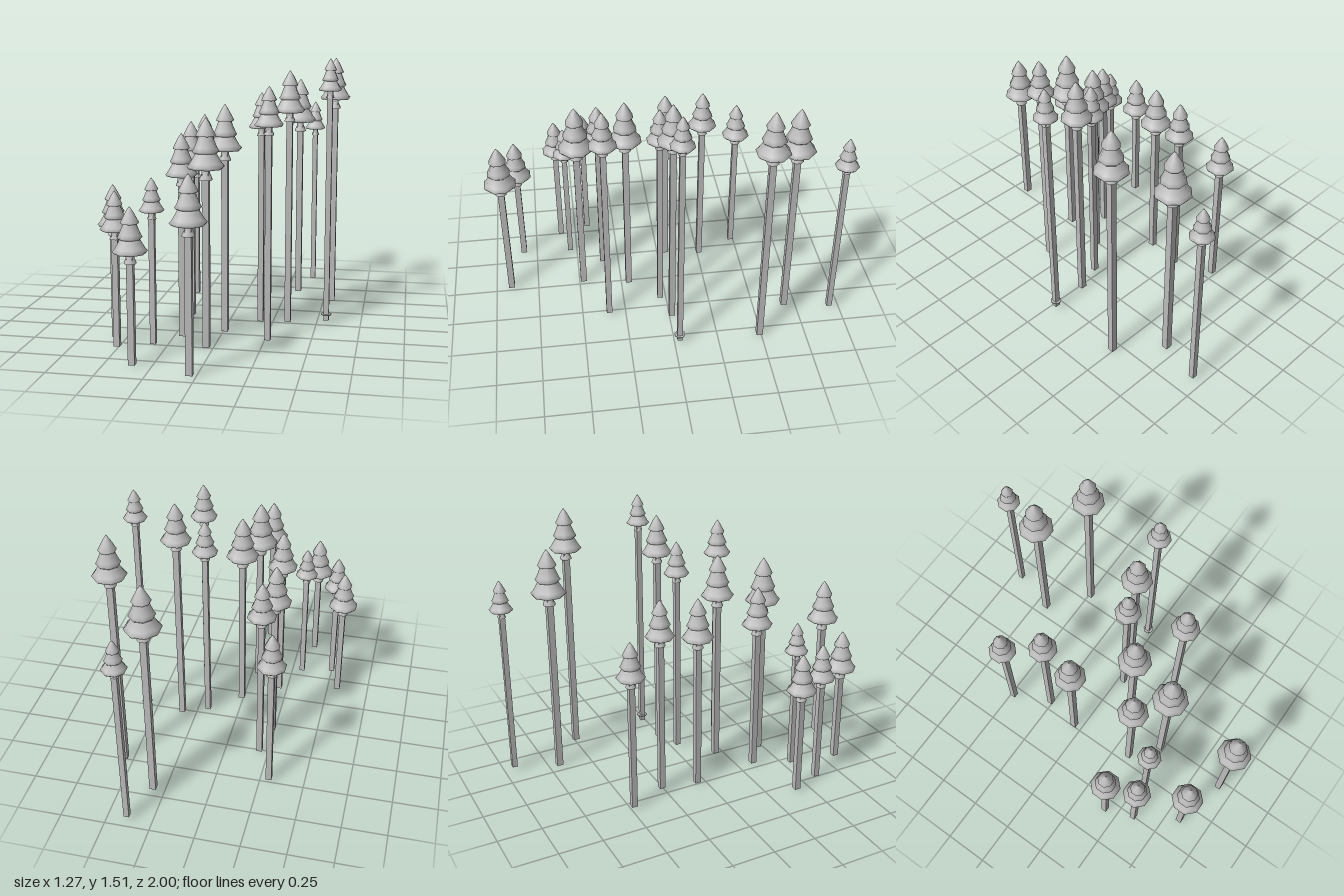
import * as THREE from 'three';

// x, z, height of the tip, radius of the lowest tier
const TREES = [
  [0.39, -0.94, 1.195, 0.065], [0.32, -0.685, 1.355, 0.097], [0.55, -0.49, 1.495, 0.09],
  [-0.30, -0.48, 1.014, 0.078], [-0.20, -0.26, 1.17, 0.08], [-0.235, -0.05, 1.15, 0.087],
  [0.555, -0.03, 1.512, 0.065], [0.335, -0.015, 1.446, 0.085], [0.185, 0.035, 1.326, 0.072],
  [0.01, 0.205, 1.275, 0.092], [0.27, 0.345, 1.385, 0.077], [-0.20, 0.345, 1.13, 0.085],
  [-0.04, 0.475, 1.23, 0.098], [-0.56, 0.42, 0.855, 0.083], [-0.50, 0.59, 0.853, 0.077],
  [-0.315, 0.54, 0.92, 0.066], [-0.35, 0.83, 0.823, 0.087], [-0.035, 0.91, 1.01, 0.092],
];

// Tier profiles [radius, y], bottom to top, for a tree of unit radius with its tip at 0
const TIERS = {
  topTier: [[0.5, -1.0], [0.52, -0.93], [0.38, -0.65], [0.2, -0.3], [0, 0]],
  middleTier: [[0.62, -1.9], [0.71, -1.8], [0.6, -1.6], [0.46, -1.25], [0.36, -0.95]],
  lowerTier: [[0.9, -2.73], [1.0, -2.6], [0.84, -2.42], [0.66, -2.1], [0.5, -1.8]],
  collar: [[0.36, -3.34], [0.34, -3.24], [0.22, -2.98], [0.16, -2.7]],
};

const lathe = (pts) => new THREE.LatheGeometry(pts.map(([r, y]) => new THREE.Vector2(r, y)), 8);

export function createModel() {
  const model = new THREE.Group();
  const grey = new THREE.MeshStandardMaterial({ color: 0xbcbcbc });
  grey.name = 'plain grey';

  const add = (parent, name, geometry) => {
    const mesh = new THREE.Mesh(geometry, grey);
    mesh.name = name;
    parent.add(mesh);
    return mesh;
  };

  // Shared tier surfaces and their flat undersides
  const parts = [];
  for (const [name, profile] of Object.entries(TIERS)) {
    parts.push([name, lathe(profile)]);
    parts.push([name + 'Underside', lathe([[0, profile[0][1]], profile[0]])]);
  }
  const box = new THREE.BoxGeometry(1, 1, 1);

  TREES.forEach(([x, z, top, r], i) => {
    const tree = new THREE.Group();
    tree.name = 'tree' + (i + 1);
    tree.position.set(x, 0, z);
    model.add(tree);

    // Foliage
    const crown = new THREE.Group();
    crown.name = 'crown';
    crown.position.y = top;
    crown.scale.set(r * 1.03, r, r * 1.03);
    crown.rotation.y = Math.PI / 8;
    parts.forEach(([name, geometry]) => add(crown, name, geometry));
    tree.add(crown);

    // Long square trunk
    const bottom = (0.098 - r) * 0.7;
    const trunkTop = top - 2.6 * r;
    const width = 0.018 + 0.19 * r;
    const trunk = add(tree, 'trunk', box);
    trunk.scale.set(width, trunkTop - bottom, width);
    trunk.position.y = (trunkTop + bottom) / 2;
  });

  // Thin disc around the foot of one trunk
  const disc = add(model, 'footDisc', new THREE.CylinderGeometry(0.031, 0.031, 0.006, 8));
  disc.position.set(0.555, 0.057, -0.03);
  disc.rotation.y = Math.PI / 8;

  return model;
}
